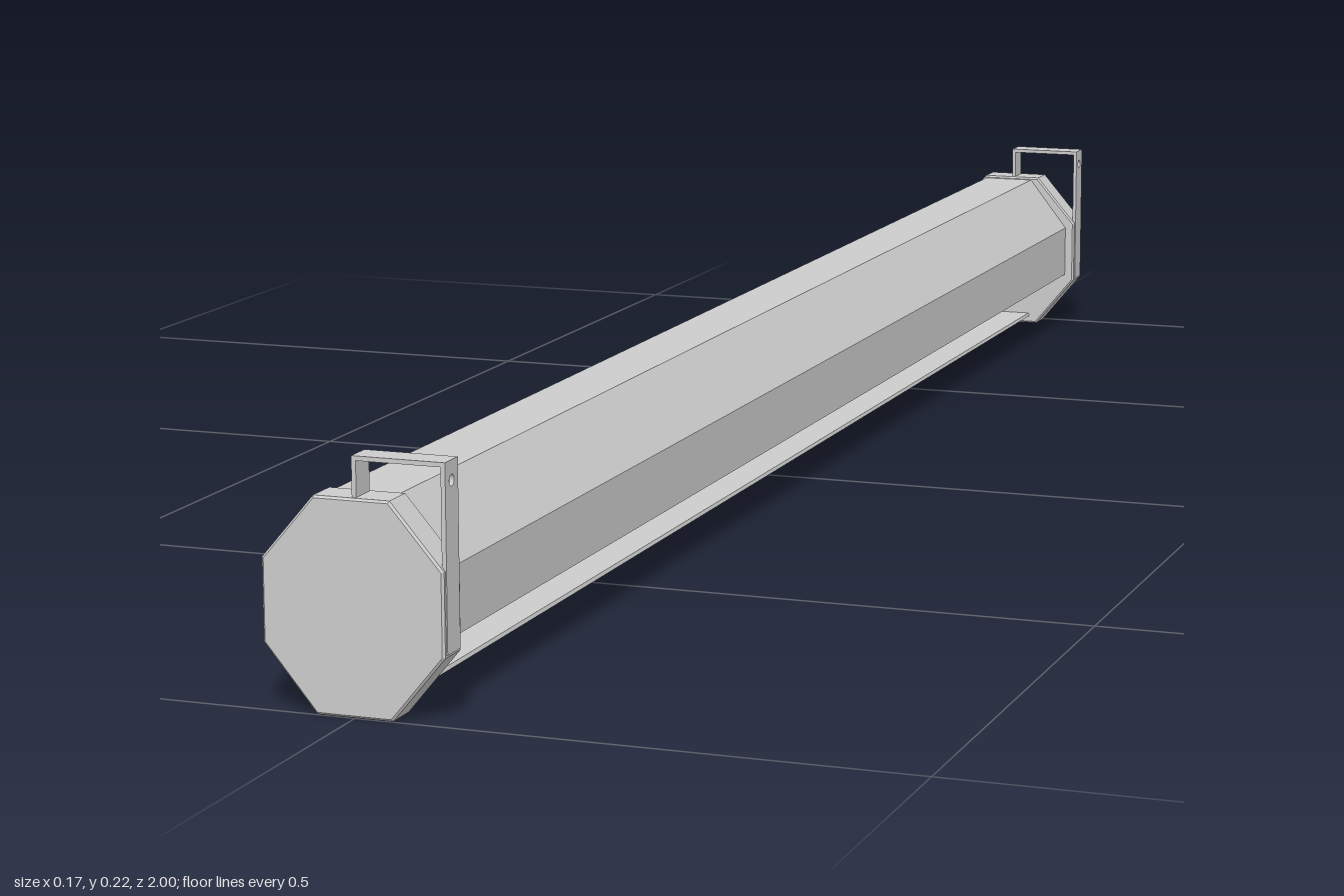
import * as THREE from 'three';

const material = new THREE.MeshStandardMaterial({ color: 0xcccccc, flatShading: true });

// Extrude a closed outline along z, centred on z = 0
function prism(points, length, bevel = 0, holes = []) {
  const shape = new THREE.Shape(points.map(([x, y]) => new THREE.Vector2(x, y)));
  shape.holes.push(...holes);
  const depth = length - 2 * bevel;
  const geometry = new THREE.ExtrudeGeometry(shape, {
    depth, bevelEnabled: bevel > 0, bevelSize: bevel, bevelThickness: bevel,
    bevelOffset: -bevel, bevelSegments: 1, curveSegments: 12,
  });
  return geometry.translate(0, 0, -depth / 2);
}

function add(parent, name, geometry) {
  const mesh = new THREE.Mesh(geometry, material);
  mesh.name = name;
  parent.add(mesh);
  return mesh;
}

export function createModel() {
  const model = new THREE.Group();
  model.name = 'screenCase';

  // Folded octagonal sheet, open along its lower +x facet
  const outer = [
    [0.071, 0.065], [0.071, 0.125], [0.025, 0.184], [-0.034, 0.184],
    [-0.08, 0.127], [-0.08, 0.065], [-0.034, 0.009], [0.025, 0.009],
  ];
  const cx = -0.0045, cy = 0.0965, k = 0.96;
  const inner = outer.map(([x, y]) => [cx + (x - cx) * k, cy + (y - cy) * k]).reverse();
  add(model, 'casing', prism([...outer, ...inner], 1.95));

  // End caps and hanging brackets, the same at both ends
  const capOutline = [
    [0.082, 0.058], [0.082, 0.131], [0.034, 0.187], [-0.035, 0.187],
    [-0.083, 0.131], [-0.083, 0.058], [-0.035, 0], [0.034, 0],
  ];
  const t = 0.004, width = 0.026;
  for (const side of [1, -1]) {
    const end = new THREE.Group();
    end.name = side > 0 ? 'frontEnd' : 'backEnd';
    end.position.z = side * 0.9825;
    model.add(end);

    add(end, 'endCap', prism(capOutline, 0.035, 0.002));

    const bracket = new THREE.Group();
    bracket.name = 'hangingBracket';
    end.add(bracket);
    add(bracket, 'shortLeg', new THREE.BoxGeometry(t, 0.04, width)).position.set(0.001, 0.2, 0);
    add(bracket, 'topBar', new THREE.BoxGeometry(0.084, t, width)).position.set(0.041, 0.22, 0);

    // Long leg with a screw hole near its top
    const hole = new THREE.Path().absarc(0, 0.205, 0.005, 0, Math.PI * 2, true);
    const w = width / 2;
    const leg = prism([[-w, 0.06], [w, 0.06], [w, 0.219], [-w, 0.219]], t, 0, [hole]);
    leg.rotateY(Math.PI / 2);
    add(bracket, 'longLeg', leg).position.x = 0.081;
  }
  return model;
}
